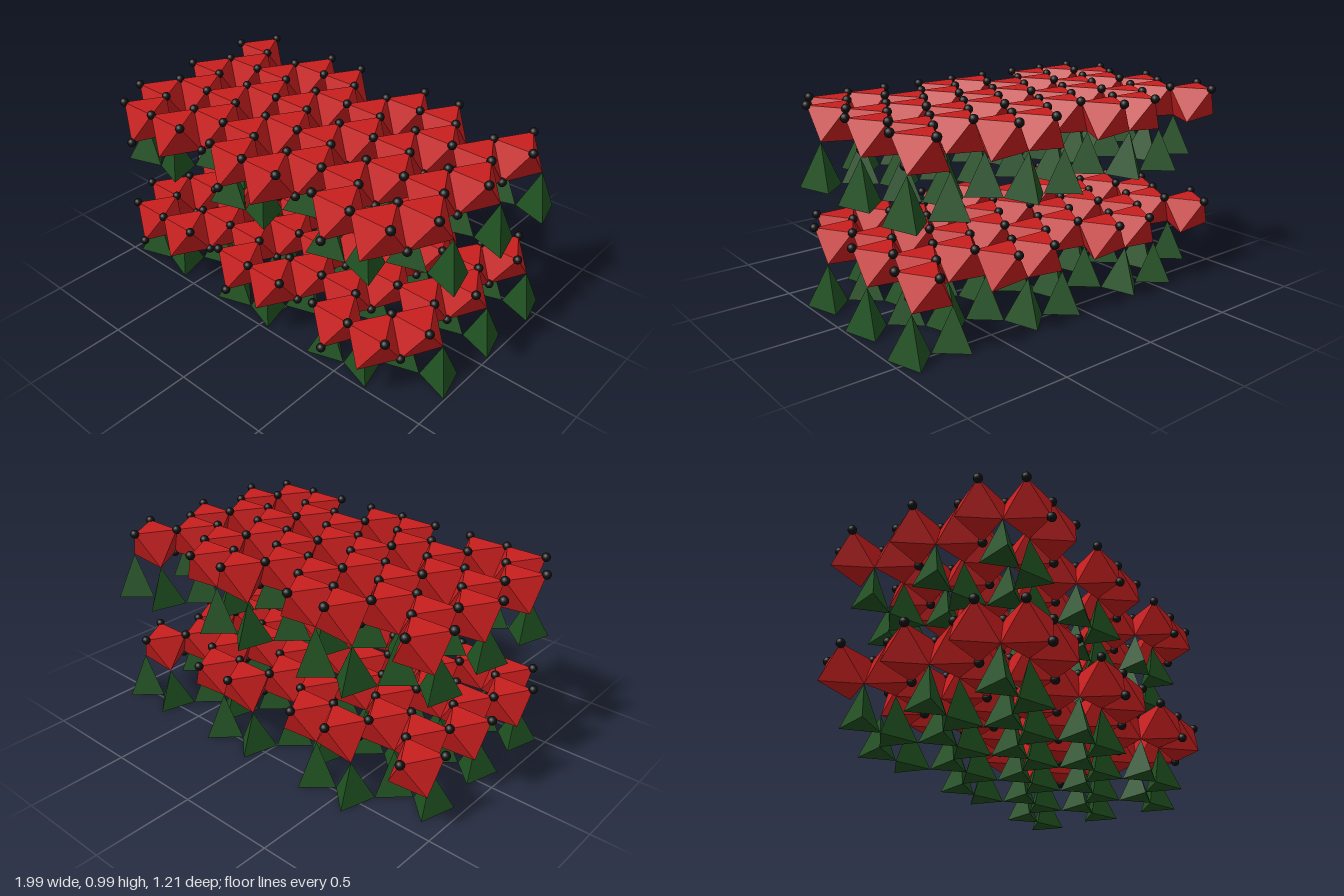
import * as THREE from 'three';
import { ConvexGeometry } from 'three/addons/geometries/ConvexGeometry.js';

const A = 0.2105;            // spacing of neighbouring sites along x
const ROW = 0.181;           // spacing of rows along z
const R = 0.121;             // radius of an octahedron seen from above
const X0 = -0.873, Z0 = -0.44;
const TOP = 0.371, LAYER = 0.596;

const siteX = (u) => X0 + A * u;
const rowZ = (k) => Z0 + ROW * k;
const mod3 = (v) => ((v % 3) + 3) % 3;

// Odd rows are shifted by half a period
const phase = (u, k) => mod3(u - (Math.abs(k) % 2 ? 1.5 : 0));

// Height of a lower corner: one of the three kinds sits a little higher
const lowerY = (u, k) => {
  const p = phase(u, k);
  return p === 0 ? 0.2 : p === 1 ? 0.219 : 0.204;
};
const upperPoint = (u, k) => new THREE.Vector3(siteX(u), TOP, rowZ(k) + R / 2);
const lowerPoint = (u, k) => new THREE.Vector3(siteX(u), lowerY(u, k), rowZ(k) + R);

export function createModel() {
  const model = new THREE.Group();
  const red = new THREE.MeshStandardMaterial({ color: 0xc81e1e, flatShading: true });
  const green = new THREE.MeshStandardMaterial({ color: 0x1f5020, flatShading: true });
  const black = new THREE.MeshStandardMaterial({ color: 0x101010 });
  const ballGeometry = new THREE.SphereGeometry(0.022, 14, 10);

  const octahedra = [], tetrahedra = [];
  const balls = new Map();
  const addBall = (p) => balls.set(p.toArray().map((v) => v.toFixed(3)).join(), p);

  // Octahedra: two filled sites, then one empty, along each row
  for (let k = 0; k < 6; k++) {
    for (let n = 0; n < 3; n++) {
      for (const u of k % 2 ? [0.5, 1.5] : [0, 2]) {
        const c = u + 3 * n;
        const upper = [upperPoint(c - 0.5, k), upperPoint(c + 0.5, k), upperPoint(c, k - 1)];
        const lower = [lowerPoint(c - 0.5, k - 1), lowerPoint(c + 0.5, k - 1), lowerPoint(c, k)];
        octahedra.push(new ConvexGeometry([...upper, ...lower]));
        upper.forEach(addBall);
      }
      // Balls on the lower corners that carry no tetrahedron
      addBall(lowerPoint((k % 2 ? 0.5 : 2) + 3 * n, k));
    }
  }

  // Tetrahedra: mirrored pairs hanging from the lower corners
  const base = [[0.105, 0.02], [-0.078, 0.081], [-0.027, -0.101]];
  for (let k = -1; k < 5; k++) {
    for (let n = 0; n < 3; n++) {
      for (const side of [1, -1]) {
        const u = 3 * n + (k % 2 ? 1.5 : 0) + (side === 1 ? 0 : 1);
        const apex = lowerPoint(u, k);
        const feet = base.map(([x, z]) => new THREE.Vector3(apex.x + side * x, 0, apex.z + z));
        tetrahedra.push(new ConvexGeometry([apex, ...feet]));
      }
    }
  }

  // Two identical layers
  for (const [i, name] of ['lowerLayer', 'upperLayer'].entries()) {
    const layer = new THREE.Group();
    layer.name = name;
    layer.position.y = i * LAYER;
    const add = (part, geometry, material, position) => {
      const mesh = new THREE.Mesh(geometry, material);
      mesh.name = part;
      if (position) mesh.position.copy(position);
      layer.add(mesh);
    };
    octahedra.forEach((g) => add('octahedron', g, red));
    tetrahedra.forEach((g) => add('tetrahedron', g, green));
    balls.forEach((p) => add('cornerBall', ballGeometry, black, p));
    model.add(layer);
  }
  return model;
}
